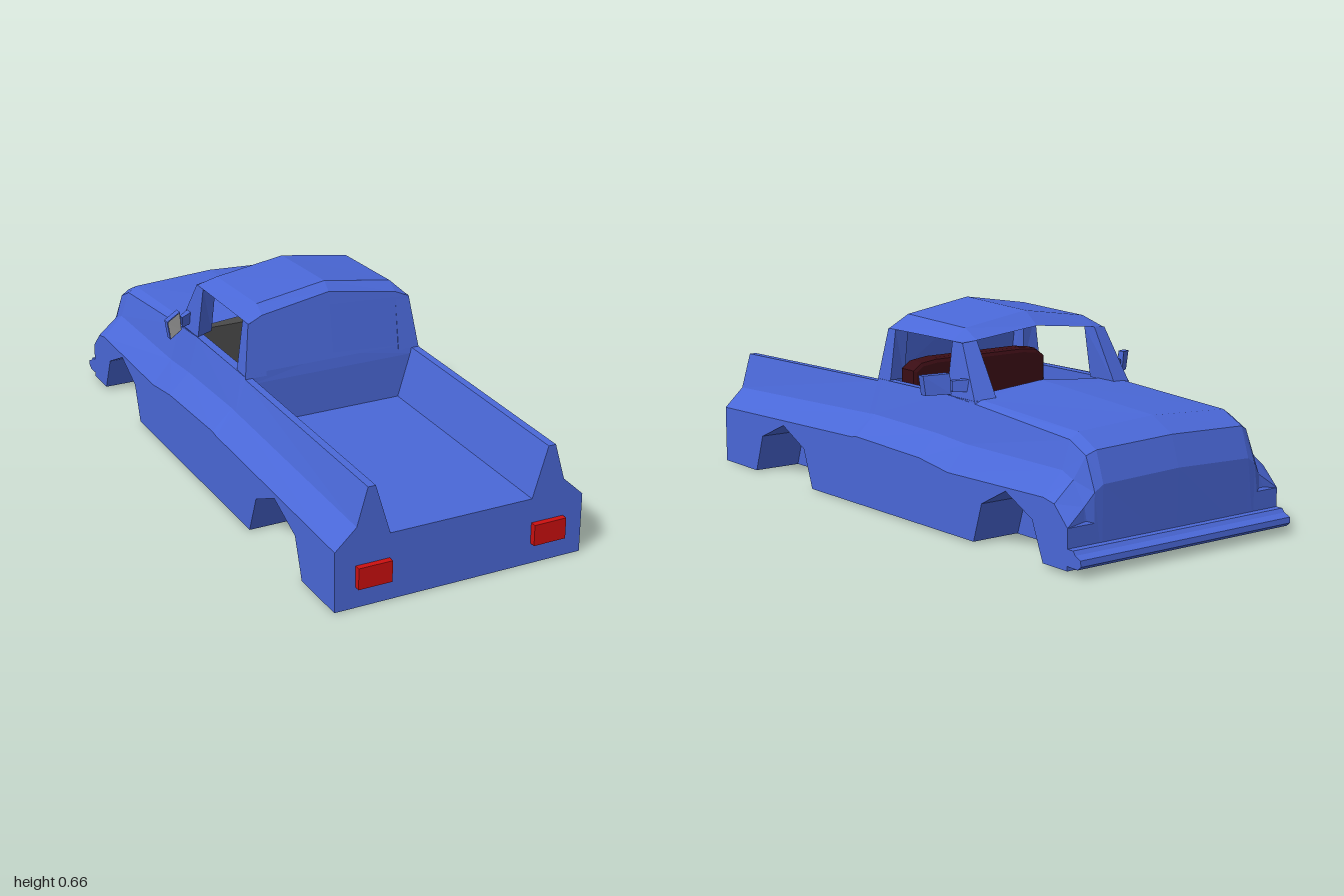
import * as THREE from 'three';

const paint = new THREE.MeshStandardMaterial({ color: 0x4a68d8, flatShading: true, side: THREE.DoubleSide });
const red = new THREE.MeshStandardMaterial({ color: 0xcc1010, flatShading: true });
const maroon = new THREE.MeshStandardMaterial({ color: 0x3a0d14, flatShading: true });
const charcoal = new THREE.MeshStandardMaterial({ color: 0x4a4a4a, flatShading: true });
const grey = new THREE.MeshStandardMaterial({ color: 0xcccccc, flatShading: true, side: THREE.DoubleSide });

// Skin through rows of [x, y, z] points, faceted
function loft(rows) {
  const pos = [];
  for (let i = 0; i < rows.length - 1; i++) {
    for (let j = 0; j < rows[i].length - 1; j++) {
      const a = rows[i][j], b = rows[i][j + 1], c = rows[i + 1][j + 1], d = rows[i + 1][j];
      pos.push(...a, ...b, ...c, ...a, ...c, ...d);
    }
  }
  const g = new THREE.BufferGeometry();
  g.setAttribute('position', new THREE.Float32BufferAttribute(pos, 3));
  g.computeVertexNormals();
  return g;
}

const shapeOf = (pts) => new THREE.Shape(pts.map((p) => new THREE.Vector2(p[0], p[1])));
const flip = (pts) => pts.map(([x, ...rest]) => [-x, ...rest]);
// Half outline running outside to centre, completed by its mirror image
const whole = (half) => [...half, ...flip(half).reverse()];
const close = (ring) => [...ring, ring[0]];

// Side profile of [z, y] points extruded across x0..x1
function sideExtrude(pts, x0, x1) {
  const g = new THREE.ExtrudeGeometry(shapeOf(pts), { depth: x1 - x0, bevelEnabled: false });
  return g.rotateY(-Math.PI / 2).translate(x1, 0, 0);
}

function box(x0, x1, y0, y1, z0, z1) {
  return new THREE.BoxGeometry(x1 - x0, y1 - y0, z1 - z0)
    .translate((x0 + x1) / 2, (y0 + y1) / 2, (z0 + z1) / 2);
}

export function createModel() {
  const truck = new THREE.Group();
  truck.name = 'pickupTruck';
  const add = (name, geo, mat = paint) => {
    const m = new THREE.Mesh(geo, mat);
    m.name = name;
    truck.add(m);
  };

  // Lower sides with wheel arches cut out
  const lower = [
    [0.98, 0.005], [0.98, 0.2], [0.16, 0.225], [0.13, 0.23], [-0.22, 0.22], [-0.37, 0.2],
    [-0.83, 0.21], [-0.88, 0.2], [-0.94, 0.14], [-0.94, 0.015],
    [-0.83, 0.015], [-0.78, 0.135], [-0.655, 0.195], [-0.54, 0.135], [-0.5, 0.01],
    [0.405, 0.005], [0.455, 0.135], [0.585, 0.195], [0.725, 0.135], [0.77, 0.005],
  ];
  add('lowerSideLeft', sideExtrude(lower, 0.25, 0.42));
  add('lowerSideRight', sideExtrude(lower, -0.42, -0.25));

  // Chassis with footwell
  add('chassis', sideExtrude([
    [0.98, 0.005], [0.98, 0.2], [0.14, 0.2], [0.14, 0.06], [-0.37, 0.06], [-0.37, 0.2],
    [-0.88, 0.2], [-0.935, 0.14], [-0.935, 0.01],
  ], -0.25, 0.25));

  // Upper side panels, rear to cowl: [z, belt, shoulder, rail]
  const panel = [
    [0.98, 0.2, 0.265, 0.385], [0.16, 0.225, 0.295, 0.4], [0.13, 0.23, 0.297, 0.408],
    [-0.22, 0.22, 0.29, 0.41], [-0.37, 0.2, 0.28, 0.4],
  ].map(([z, b, s, r]) => [[0.42, b, z], [0.35, s, z], [0.315, r, z]]);
  // Cab door liner
  const liner = [0.15, -0.37].map((z) => [[0.315, 0.408, z], [0.285, 0.408, z], [0.285, 0.2, z], [0.25, 0.06, z]]);

  // Windscreen pillar and rear pillar, each a closed tapered ring
  const frontPillar = [
    close([[0.315, 0.4, -0.37], [0.24, 0.41, -0.38], [0.25, 0.41, -0.25], [0.312, 0.41, -0.22]]),
    close([[0.29, 0.575, -0.272], [0.24, 0.58, -0.28], [0.24, 0.575, -0.23], [0.29, 0.575, -0.22]]),
  ];
  const rearPillar = [
    close([[0.315, 0.4, 0.16], [0.24, 0.4, 0.16], [0.25, 0.41, 0.1], [0.312, 0.41, 0.09]]),
    close([[0.29, 0.575, 0.131], [0.24, 0.575, 0.131], [0.24, 0.575, 0.09], [0.29, 0.575, 0.09]]),
  ];

  // Mirror arm and housing swept outwards, with glass facing the rear
  const mirrorArm = [
    [[0.3, 0.43, -0.3], [0.3, 0.47, -0.3], [0.3, 0.47, -0.33], [0.3, 0.43, -0.33]],
    [[0.345, 0.43, -0.275], [0.345, 0.465, -0.275], [0.345, 0.465, -0.295], [0.345, 0.43, -0.295]],
  ].map(close);
  const face = [[0.35, 0.424, -0.27], [0.355, 0.489, -0.27], [0.421, 0.481, -0.22], [0.411, 0.418, -0.22]];
  const back = face.map(([x, y, z]) => [x, y, z - 0.025]);
  const housing = [...face.keys()].map((i) => i);
  const mirrorShell = [close(face), close(back)];
  const mirrorBack = [[back[0], back[1]], [back[3], back[2]]];
  const inset = (t) => housing.map((i) => face[i].map((v, k) =>
    v + (face.reduce((s, p) => s + p[k] / 4, 0) - v) * t + (k === 2 ? 0.001 : 0)));
  const gl = inset(0.05);
  const glass = [[gl[0], gl[1]], [gl[3], gl[2]]];

  for (const [side, f] of [['Left', (p) => p], ['Right', flip]]) {
    const put = (name, rows, mat) => add(name + side, loft(rows.map(f)), mat);
    put('sidePanel', panel);
    put('doorLiner', liner);
    put('frontPillar', frontPillar);
    put('rearPillar', rearPillar);
    put('mirrorArm', mirrorArm);
    put('mirrorShell', mirrorShell);
    put('mirrorBack', mirrorBack);
    put('mirrorGlass', glass, grey);
    const s = side === 'Left' ? 1 : -1;
    add('tailLight' + side, box(-0.0555, 0.0555, 0.073, 0.142, 0.975, 1).translate(s * 0.297, 0, 0), red);
  }

  // Bonnet, rounded nose and front panel
  add('bonnet', loft([
    [[0.42, 0.2, -0.37], [0.35, 0.28, -0.37], [0.315, 0.4, -0.37], [0.29, 0.41, -0.37], [0, 0.43, -0.37]],
    [[0.42, 0.21, -0.83], [0.35, 0.28, -0.83], [0.32, 0.365, -0.83], [0.29, 0.385, -0.83], [0, 0.4, -0.83]],
    [[0.42, 0.2, -0.88], [0.35, 0.26, -0.88], [0.32, 0.33, -0.9], [0.29, 0.345, -0.91], [0, 0.355, -0.912]],
    [[0.42, 0.14, -0.94], [0.35, 0.19, -0.93], [0.32, 0.23, -0.94], [0.29, 0.25, -0.942], [0, 0.26, -0.944]],
    [[0.42, 0.015, -0.94], [0.35, 0.015, -0.94], [0.32, 0.015, -0.94], [0.29, 0.015, -0.94], [0, 0.015, -0.94]],
  ].map(whole)));
  add('cowl', loft([
    [[0.29, 0.41, -0.37], [0, 0.43, -0.37]],
    [[0.25, 0.412, -0.3], [0, 0.433, -0.3]],
  ].map(whole)));
  add('bumper', sideExtrude([
    [-0.93, 0.03], [-0.985, 0.028], [-1, 0.04], [-0.998, 0.058], [-0.975, 0.068], [-0.965, 0.08], [-0.93, 0.08],
  ], -0.42, 0.42));

  // Open load bed: rails, sloping inner walls, floor
  add('loadBed', loft([
    [[0.315, 0.385, 0.98], [0.29, 0.385, 0.98], [0.24, 0.222, 0.98]],
    [[0.315, 0.4, 0.155], [0.29, 0.4, 0.155], [0.24, 0.235, 0.155]],
  ].map(whole)));
  add('rearPanel', new THREE.ShapeGeometry(shapeOf(whole([
    [0.42, 0.005], [0.42, 0.2], [0.35, 0.265], [0.315, 0.385], [0.29, 0.385], [0.24, 0.222],
  ]))).translate(0, 0, 0.98));

  // Cab back with window opening, leaning forward above the bed
  const backShape = shapeOf(whole([[0.24, 0.2], [0.29, 0.38], [0.315, 0.4], [0.29, 0.573], [0.24, 0.595], [0, 0.633]]));
  backShape.holes.push(new THREE.Path(whole([[0.24, 0.415], [0, 0.433], [0, 0.59], [0.24, 0.562]])
    .map((p) => new THREE.Vector2(...p))));
  const cabBack = new THREE.ShapeGeometry(backShape);
  const p = cabBack.attributes.position;
  for (let i = 0; i < p.count; i++) p.setZ(i, 0.16 - Math.max(0, p.getY(i) - 0.4) * 0.165);
  add('cabBack', cabBack);

  // Roof with chamfered front and rear edges
  add('roof', loft([
    [[0.29, 0.573, 0.131], [0.24, 0.595, 0.128], [0, 0.633, 0.122]],
    [[0.29, 0.575, 0.09], [0.24, 0.622, 0.09], [0, 0.66, 0.09]],
    [[0.29, 0.575, -0.22], [0.24, 0.612, -0.22], [0, 0.648, -0.22]],
    [[0.29, 0.573, -0.272], [0.24, 0.58, -0.28], [0, 0.605, -0.28]],
  ].map(whole)));

  // Bench seat and dashboard
  add('seatBack', new THREE.ExtrudeGeometry(shapeOf(whole([[0.26, 0.1], [0.26, 0.44], [0.235, 0.458], [0.18, 0.465]])), {
    depth: 0.04, bevelEnabled: true, bevelThickness: 0.018, bevelSize: 0.015, bevelSegments: 2,
  }).translate(0, 0, 0.032), maroon);
  add('seatCushion', box(-0.25, 0.25, 0.06, 0.23, -0.14, 0.03), maroon);
  add('dashboard', box(-0.28, 0.28, 0.06, 0.405, -0.38, -0.29), charcoal);

  return truck;
}
